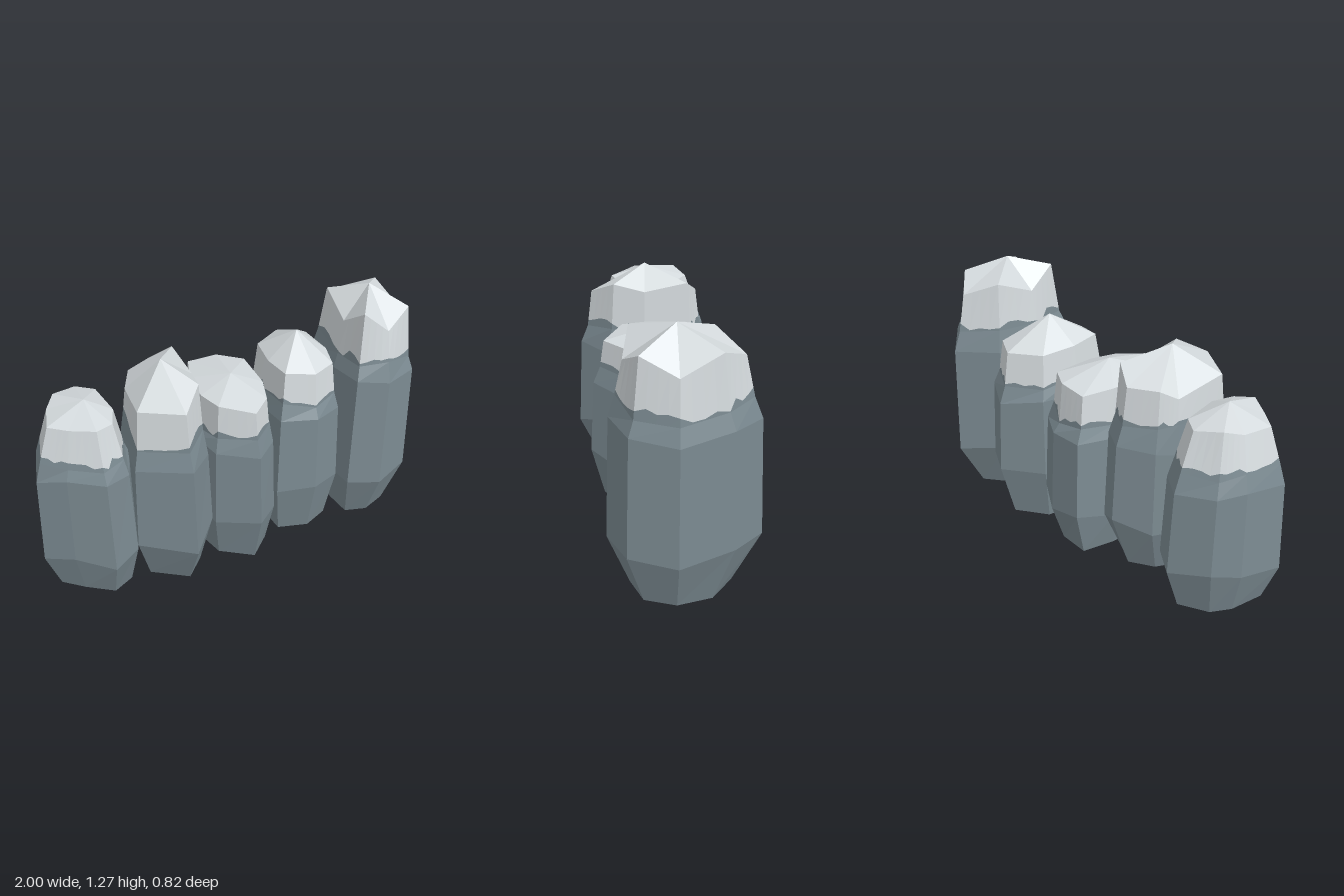
import * as THREE from 'three';

const stone = new THREE.MeshStandardMaterial({ color: 0x7b8a91 });
stone.name = 'slate stone';
const snow = new THREE.MeshStandardMaterial({ color: 0xd4dadd });
snow.name = 'pale snow';

// Small seeded generator for the uneven ring heights and snow line
function seeded(seed) {
  let s = seed * 7919;
  return () => (s = (s * 16807) % 2147483647) / 2147483647;
}

// Builds a flat-faceted mesh from a list of triangle corners
function facetMesh(points, material, name) {
  const geometry = new THREE.BufferGeometry().setFromPoints(points);
  geometry.computeVertexNormals();
  const mesh = new THREE.Mesh(geometry, material);
  mesh.name = name;
  return mesh;
}

// Joins two closed rings with quads (lower ring first)
function band(out, lower, upper) {
  lower.forEach((a, i) => {
    const j = (i + 1) % lower.length;
    out.push(a, lower[j], upper[j], a, upper[j], upper[i]);
  });
}

// Closes a ring to a single point
function fan(out, ring, tip, down = false) {
  ring.forEach((a, i) => {
    const b = ring[(i + 1) % ring.length];
    out.push(...(down ? [b, a, tip] : [a, b, tip]));
  });
}

// Splits every side of a ring into short steps
function subdivide(ring, steps) {
  return ring.flatMap((a, i) => Array.from({ length: steps }, (_, k) =>
    a.clone().lerp(ring[(i + 1) % ring.length], k / steps)));
}

// Rock column with a snow cap. The outline runs from the front towards +x;
// lean slopes the crown sideways and ridge lifts every second crown corner.
function column({ name, peak, outline, foot, low, shoulder, rim, crown, crownScale,
  lean = 0, ridge = 0 }, index) {
  const random = seeded(index + 11);
  const tip = new THREE.Vector3(...peak);

  const ring = (scale, y, spread = 0, slope = 0, lift = 0) => outline.map(([x, z], k) =>
    new THREE.Vector3(
      tip.x + (x - tip.x) * scale,
      y + (random() - 0.5) * spread + (x - tip.x) * slope + (k % 2 ? lift : -lift),
      tip.z + (z - tip.z) * scale));

  const base = ring(foot, 0);
  const belly = ring(1, low, 0.08);
  const chest = ring(0.93, shoulder, 0.05);
  const collar = ring(0.83, rim, 0.05);
  const top = ring(crownScale, crown, 0.03, lean, ridge);

  // Jagged snow line running over the facets between collar and crown
  const steps = 4;
  const fineCollar = subdivide(collar, steps);
  const fineTop = subdivide(top, steps);
  const snowLine = fineCollar.map((p, i) => p.clone().lerp(fineTop[i], 0.01 + 0.22 * random()));

  const rockPoints = [];
  fan(rockPoints, base, new THREE.Vector3(tip.x, 0, tip.z), true);
  band(rockPoints, base, belly);
  band(rockPoints, belly, chest);
  band(rockPoints, chest, collar);
  band(rockPoints, fineCollar, snowLine);

  const snowPoints = [];
  band(snowPoints, snowLine, fineTop);
  fan(snowPoints, top, tip);

  const group = new THREE.Group();
  group.name = name;
  group.add(facetMesh(rockPoints, stone, 'rockColumn'), facetMesh(snowPoints, snow, 'snowCap'));
  return group;
}

const columns = [
  {
    name: 'rightOuterRock', peak: [-0.71, 0.99, 0.03],
    outline: [[-0.7, 0.325], [-0.57, 0.25], [-0.52, 0.08], [-0.57, -0.22], [-0.7, -0.31],
      [-0.88, -0.22], [-0.955, -0.1], [-1, 0.12], [-0.87, 0.22]],
    foot: 0.77, low: 0.23, shoulder: 0.67, rim: 0.76, crown: 0.935, crownScale: 0.64,
  },
  {
    name: 'rightInnerRock', peak: [-0.35, 1.13, 0.05],
    outline: [[-0.32, 0.41], [-0.19, 0.26], [-0.16, 0.06], [-0.19, -0.22], [-0.32, -0.29],
      [-0.49, -0.19], [-0.545, -0.09], [-0.57, 0.26]],
    foot: 0.7, low: 0.27, shoulder: 0.69, rim: 0.8, crown: 1.01, crownScale: 0.76,
    lean: 0.2, ridge: 0.02,
  },
  {
    name: 'middleRock', peak: [0.01, 0.945, 0],
    outline: [[0.035, 0.345], [0.165, 0.21], [0.215, 0.03], [0.21, -0.26], [0.05, -0.355],
      [-0.145, -0.36], [-0.2, -0.16], [-0.21, 0.06], [-0.16, 0.225]],
    foot: 0.82, low: 0.24, shoulder: 0.65, rim: 0.71, crown: 0.88, crownScale: 0.77,
  },
  {
    name: 'leftInnerRock', peak: [0.38, 1.075, -0.06],
    outline: [[0.39, 0.225], [0.55, 0.145], [0.59, -0.03], [0.58, -0.31], [0.4, -0.405],
      [0.2, -0.27], [0.17, -0.03], [0.195, 0.18]],
    foot: 0.8, low: 0.27, shoulder: 0.7, rim: 0.78, crown: 0.95, crownScale: 0.75,
  },
  {
    name: 'leftOuterRock', peak: [0.745, 1.27, -0.03],
    outline: [[0.745, 0.27], [0.935, 0.185], [1, -0.03], [0.94, -0.27], [0.76, -0.415],
      [0.555, -0.26], [0.545, 0.02], [0.575, 0.23]],
    foot: 0.67, low: 0.28, shoulder: 0.86, rim: 0.94, crown: 1.16, crownScale: 0.72, ridge: 0.045,
  },
];

export function createModel() {
  const model = new THREE.Group();
  model.name = 'snowCappedRocks';
  columns.forEach((c, i) => model.add(column(c, i)));
  return model;
}
